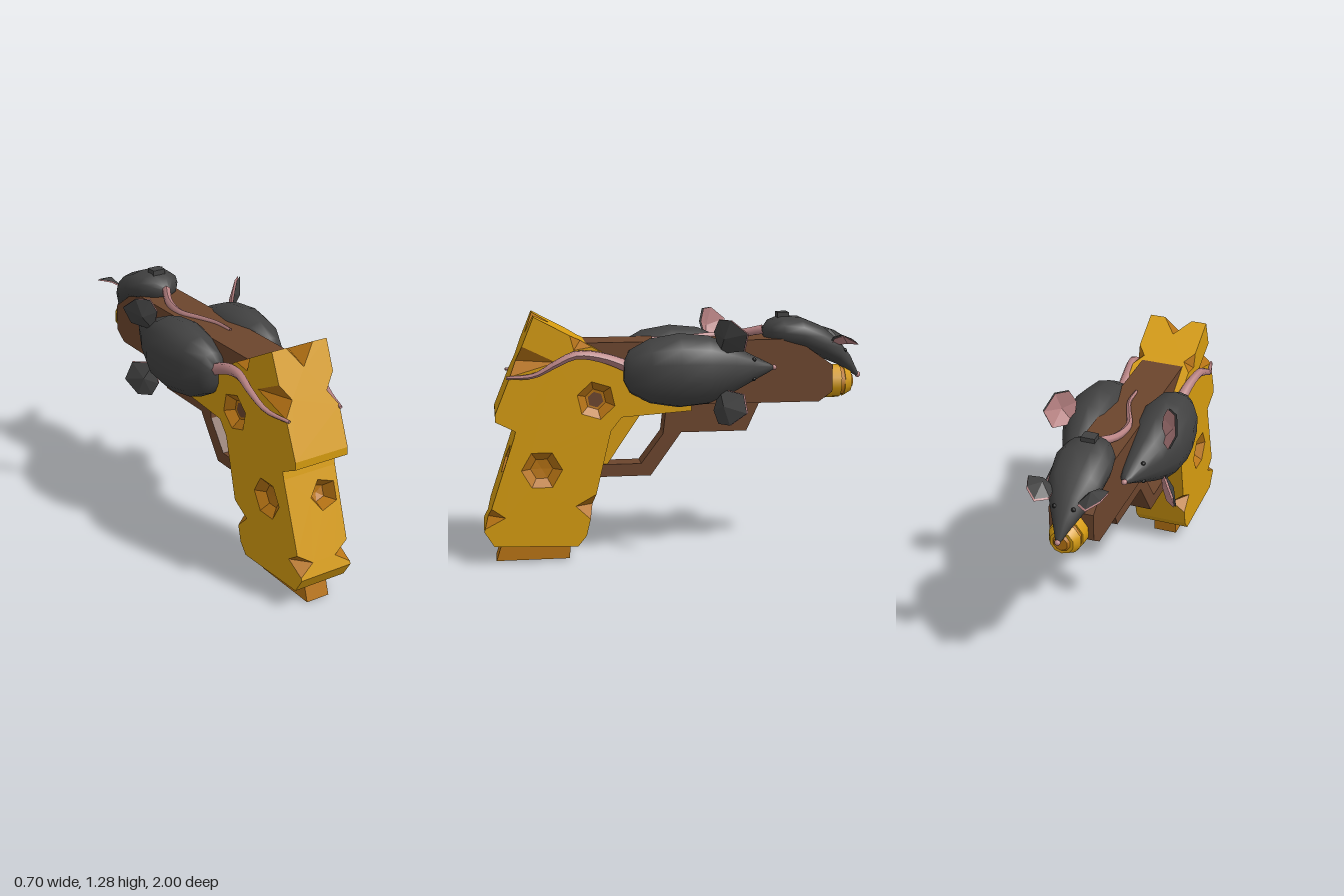
import * as THREE from 'three';

const mat = (name, color, side = THREE.FrontSide) => {
  const m = new THREE.MeshStandardMaterial({ color, side });
  m.name = name;
  return m;
};
const V = (x, y, z) => new THREE.Vector3(x, y, z);
const shapeOf = pts => new THREE.Shape(pts.map(p => new THREE.Vector2(p[0], p[1])));
const lerp = THREE.MathUtils.lerp;

export function createModel() {
  const model = new THREE.Group();
  const cheese = mat('cheese', 0xd59b10, THREE.DoubleSide);
  const rind = mat('dark cheese', 0xb87414, THREE.DoubleSide);
  const wood = mat('brown', 0x6c452d);
  const fur = mat('dark fur', 0x414141, THREE.DoubleSide);
  const pink = mat('pink skin', 0xb98384, THREE.DoubleSide);
  const black = mat('black', 0x1c1c1c);

  const add = (name, geo, material, parent = model) => {
    const m = new THREE.Mesh(geo, material);
    m.name = name;
    parent.add(m);
    return m;
  };
  // flat-faced geometry from a list of triangles
  const fromTris = tris => {
    const g = new THREE.BufferGeometry().setFromPoints(tris.flat());
    g.computeVertexNormals();
    return g;
  };
  // side profile in (z, y), extruded across x
  const slab = (pts, width) =>
    new THREE.ExtrudeGeometry(shapeOf(pts), { depth: width, bevelEnabled: false })
      .rotateY(-Math.PI / 2).translate(width / 2, 0, 0);

  // ---- cheese grip: side faces with holes, edge walls, cut corners and pits
  const W = 0.155;
  const outline = [[0.73, 1.28], [0.43, 1.12], [-0.07, 0.81], [-0.07, 0.785], [0.29, 0.76],
    [0.345, 0.69], [0.475, 0.14], [0.52, 0.085], [0.95, 0.10], [1.0, 0.18],
    [0.84, 0.66], [0.83, 0.70], [0.93, 0.75], [0.93, 0.79]];
  // corner cuts by edge: start, end, deepest point on the side, inner x on the wall
  const cuts = {
    0: { a: 0.6, b: 0.97, s: [0.53, 1.11], k: 0.11 },
    5: { a: 0.6, b: 0.84, s: [0.53, 0.3], k: 0.08 },
    9: { a: 0.03, b: 0.25, s: [0.89, 0.25], k: 0.07 },
    13: { a: 0.39, b: 0.7, s: [0.62, 1.05], k: 0.1 },
  };
  const ridge = { half: 0.075, top: 0.3, back: 0.8 };
  const grip = new THREE.Group();
  grip.name = 'cheeseGrip';
  model.add(grip);
  const taper = g => {
    const p = g.attributes.position;
    for (let i = 0; i < p.count; i++) p.setX(i, p.getX(i) * (0.94 + 0.06 * p.getY(i)));
    g.computeVertexNormals();
    return g;
  };
  const polygon = (cx, cy, r, n, turn) => Array.from({ length: n }, (_, i) => {
    const a = turn + i / n * Math.PI * 2;
    return [cx + r * Math.cos(a), cy + r * Math.sin(a)];
  });
  const pitTris = [];
  const pit = (rim, inward) => {
    const c = rim.reduce((s, p) => s.add(p), V(0, 0, 0)).divideScalar(rim.length);
    const floor = rim.map(p => p.clone().lerp(c, 0.45).add(inward));
    const mid = c.clone().addScaledVector(inward, 1.15);
    rim.forEach((p, i) => {
      const j = (i + 1) % rim.length;
      pitTris.push([p, rim[j], floor[j]], [p, floor[j], floor[i]], [floor[i], floor[j], mid]);
    });
  };
  const along = (i, t) => {
    const p = outline[i], q = outline[(i + 1) % outline.length];
    return [lerp(p[0], q[0], t), lerp(p[1], q[1], t)];
  };

  const sidePts = [];
  outline.forEach((p, i) => {
    sidePts.push(p);
    const c = cuts[i];
    if (c) sidePts.push(along(i, c.a), c.s, along(i, c.b));
  });
  const sideHoles = [polygon(0.42, 0.85, 0.1, 6, 0.3), polygon(0.7, 0.495, 0.105, 6, 0)];
  for (const s of [-1, 1]) {
    const shape = shapeOf(sidePts);
    for (const h of sideHoles) {
      shape.holes.push(new THREE.Path(h.map(p => new THREE.Vector2(...p))));
      pit(h.map(p => V(s * W, p[1], p[0])), V(-s * 0.04, 0, 0));
    }
    const g = new THREE.ShapeGeometry(shape).rotateY(-Math.PI / 2).translate(s * W, 0, 0);
    add('gripSide', taper(g), cheese, grip);
  }

  outline.forEach((p, i) => {
    const q = outline[(i + 1) % outline.length];
    const len = Math.hypot(q[0] - p[0], q[1] - p[1]);
    const at = (x, l) => { const [z, y] = along(i, l / len); return V(x, y, z); };
    const c = cuts[i], pts = [[-W, 0]];
    if (i === 0) pts.push([-ridge.half, 0], [0, ridge.top * len], [ridge.half, 0]);
    pts.push([W, 0]);
    if (c) pts.push([W, c.a * len], [c.k, (c.a + c.b) / 2 * len], [W, c.b * len]);
    pts.push([W, len]);
    if (i === 13) pts.push([ridge.half, len], [0, ridge.back * len], [-ridge.half, len]);
    pts.push([-W, len]);
    if (c) pts.push([-W, c.b * len], [-c.k, (c.a + c.b) / 2 * len], [-W, c.a * len]);
    const shape = shapeOf(pts);
    if (i === 9) {
      const h = polygon(0.065, 0.38, 0.082, 5, Math.PI);
      shape.holes.push(new THREE.Path(h.map(v => new THREE.Vector2(...v))));
      pit(h.map(v => at(v[0], v[1])), V(0, -0.02, -0.06));
    }
    const g = new THREE.ShapeGeometry(shape), pos = g.attributes.position;
    for (let n = 0; n < pos.count; n++) {
      const v = at(pos.getX(n), pos.getY(n));
      pos.setXYZ(n, v.x, v.y, v.z);
    }
    add('gripWall', taper(g), cheese, grip);
    if (c) for (const s of [-1, 1]) {
      const A = at(s * W, c.a * len), B = at(s * W, c.b * len);
      const S = V(s * W, c.s[1], c.s[0]), K = at(s * c.k, (c.a + c.b) / 2 * len);
      pitTris.push([A, S, K], [S, B, K]);
    }
  });
  // bite out of the top ridge
  const [tz, ty] = along(0, ridge.top), [bz, by] = along(13, ridge.back);
  for (const s of [-1, 1])
    pitTris.push([V(s * ridge.half, 1.28, 0.73), V(0, ty, tz), V(0, by, bz)]);
  add('cheeseHoles', taper(fromTris(pitTris)), rind, grip);

  // ---- base block, barrel, guard, trigger, muzzle
  add('baseBlock', slab([[0.94, 0], [0.905, 0.11], [0.55, 0.11], [0.56, 0]], 0.13), rind);
  add('barrel', slab([[0.47, 1.14], [0.47, 0.81], [-0.75, 0.81], [-0.82, 0.86],
    [-0.82, 1.0], [-0.62, 1.14]], 0.225), wood);
  add('triggerGuard', slab([[0.045, 0.82], [-0.45, 0.82], [-0.375, 0.655], [-0.03, 0.655],
    [0.13, 0.43], [0.41, 0.43], [0.41, 0.495], [0.18, 0.495], [0.065, 0.65]], 0.12), wood);
  add('trigger', slab([[0.17, 0.77], [0.355, 0.495], [0.41, 0.495], [0.36, 0.69], [0.3, 0.77]], 0.09), cheese);
  const ring = (name, r0, r1, z0, z1, m) => add(name,
    new THREE.CylinderGeometry(r1, r0, z0 - z1, 10).toNonIndexed().rotateX(-Math.PI / 2)
      .translate(0, 0.9, (z0 + z1) / 2), m);
  ring('muzzle', 0.09, 0.088, -0.8, -0.88, cheese);
  ring('muzzleBand', 0.08, 0.076, -0.88, -0.9, rind);
  ring('muzzleRim', 0.084, 0.06, -0.9, -0.94, cheese);
  ring('muzzleTip', 0.045, 0.035, -0.94, -0.952, rind);

  // ---- mice
  // body lofted along z; each station is [z, half width, centre height, half height]
  const loft = stations => {
    const N = 14, pos = [], idx = [];
    const soft = v => Math.sign(v) * Math.abs(v) ** 0.9;
    stations.forEach(([z, w, c, h], i) => {
      for (let j = 0; j < N; j++) {
        const a = j / N * Math.PI * 2;
        pos.push(w * soft(Math.cos(a)), c + h * soft(Math.sin(a)), z);
        const k = (j + 1) % N, o = i * N;
        if (i) idx.push(o - N + j, o + k, o + j, o - N + j, o - N + k, o + k);
      }
    });
    const last = (stations.length - 1) * N;
    for (let j = 1; j < N - 1; j++) idx.push(0, j + 1, j, last, last + j, last + j + 1);
    const g = new THREE.BufferGeometry();
    g.setAttribute('position', new THREE.Float32BufferAttribute(pos, 3));
    g.setIndex(idx);
    g.computeVertexNormals();
    return g;
  };
  const ear = (parent, pts, hub, s) => {
    const layer = off => {
      const rim = pts.map(p => V(p[0] * s, p[1], p[2]).add(off));
      const c = V(hub[0] * s, hub[1], hub[2]).add(off);
      return fromTris(rim.map((p, i) => [p, rim[(i + 1) % rim.length], c]));
    };
    add('earBack', layer(V(0, 0, 0)), fur, parent);
    add('earInside', layer(V(0, -0.008, -0.008)), pink, parent);
  };
  const mouse = (name, stations, earPts, hub, eye, nose) => {
    const g = new THREE.Group();
    g.name = name;
    add('body', loft(stations), fur, g);
    for (const s of [-1, 1]) {
      ear(g, earPts, hub, s);
      add('eye', new THREE.SphereGeometry(0.011, 8, 6).translate(eye[0] * s, eye[1], eye[2]), black, g);
    }
    add('nose', new THREE.SphereGeometry(0.015, 8, 6).translate(...nose), pink, g);
    model.add(g);
    return g;
  };
  // tapered tail along a curve
  const tail = (pts, r0, r1) => {
    const curve = new THREE.CatmullRomCurve3(pts.map(p => V(...p)));
    const seg = 16, rad = 6, g = new THREE.TubeGeometry(curve, seg, 1, rad);
    const p = g.attributes.position, v = V(0, 0, 0);
    for (let i = 0; i < p.count; i++) {
      const t = Math.floor(i / (rad + 1)) / seg, c = curve.getPointAt(t);
      v.fromBufferAttribute(p, i).sub(c).multiplyScalar(lerp(r0, r1, t)).add(c);
      p.setXYZ(i, v.x, v.y, v.z);
    }
    g.computeVertexNormals();
    add('tail', g, pink);
  };

  // side mice lie with their backs facing outwards
  for (const s of [-1, 1]) {
    const m = mouse(s > 0 ? 'leftMouse' : 'rightMouse',
      [[0.28, 0.05, 0.17, 0.04], [0.25, 0.11, 0.175, 0.08], [0.15, 0.165, 0.18, 0.125],
        [0, 0.19, 0.18, 0.152], [-0.15, 0.175, 0.18, 0.14], [-0.28, 0.12, 0.17, 0.1],
        [-0.38, 0.07, 0.155, 0.065], [-0.47, 0.025, 0.145, 0.03], [-0.495, 0.01, 0.145, 0.012]],
      [[0.09, 0.24, -0.2], [0.2, 0.235, -0.17], [0.265, 0.265, -0.19], [0.265, 0.32, -0.24],
        [0.2, 0.35, -0.32], [0.11, 0.31, -0.31]],
      [0.17, 0.3, -0.21], [0.05, 0.2, -0.385], [0, 0.145, -0.5]);
    m.rotation.z = -s * Math.PI / 2;
    m.position.y = 1;
    tail([[0.16, 1.02, 0.25], [0.17, 1.07, 0.38], [0.19, 1.09, 0.52], [0.2, 1.05, 0.62],
      [0.185, 0.99, 0.73], [0.15, 0.975, 0.87]].map(p => [p[0] * s, p[1], p[2]]), 0.034, 0.008);
  }
  mouse('frontMouse',
    [[-0.47, 0.03, 1.17, 0.025], [-0.5, 0.085, 1.175, 0.055], [-0.56, 0.125, 1.172, 0.08],
      [-0.66, 0.145, 1.16, 0.085], [-0.78, 0.13, 1.11, 0.085], [-0.87, 0.085, 1.055, 0.067],
      [-0.94, 0.04, 0.99, 0.045], [-0.985, 0.01, 0.93, 0.014]],
    [[0.07, 1.11, -0.9], [0.125, 1.115, -0.945], [0.18, 1.145, -0.9], [0.2, 1.165, -0.84],
      [0.14, 1.15, -0.81], [0.08, 1.11, -0.81]],
    [0.12, 1.16, -0.86], [0.047, 1.068, -0.9], [0, 0.93, -0.985]);
  tail([[0, 1.18, -0.47], [-0.05, 1.155, -0.36], [-0.065, 1.145, -0.22], [-0.02, 1.145, -0.1],
    [0.015, 1.145, 0], [0.02, 1.145, 0.12]], 0.024, 0.008);
  add('rearSight', new THREE.BoxGeometry(0.07, 0.035, 0.06).translate(0, 1.253, -0.57), fur);

  return model;
}
